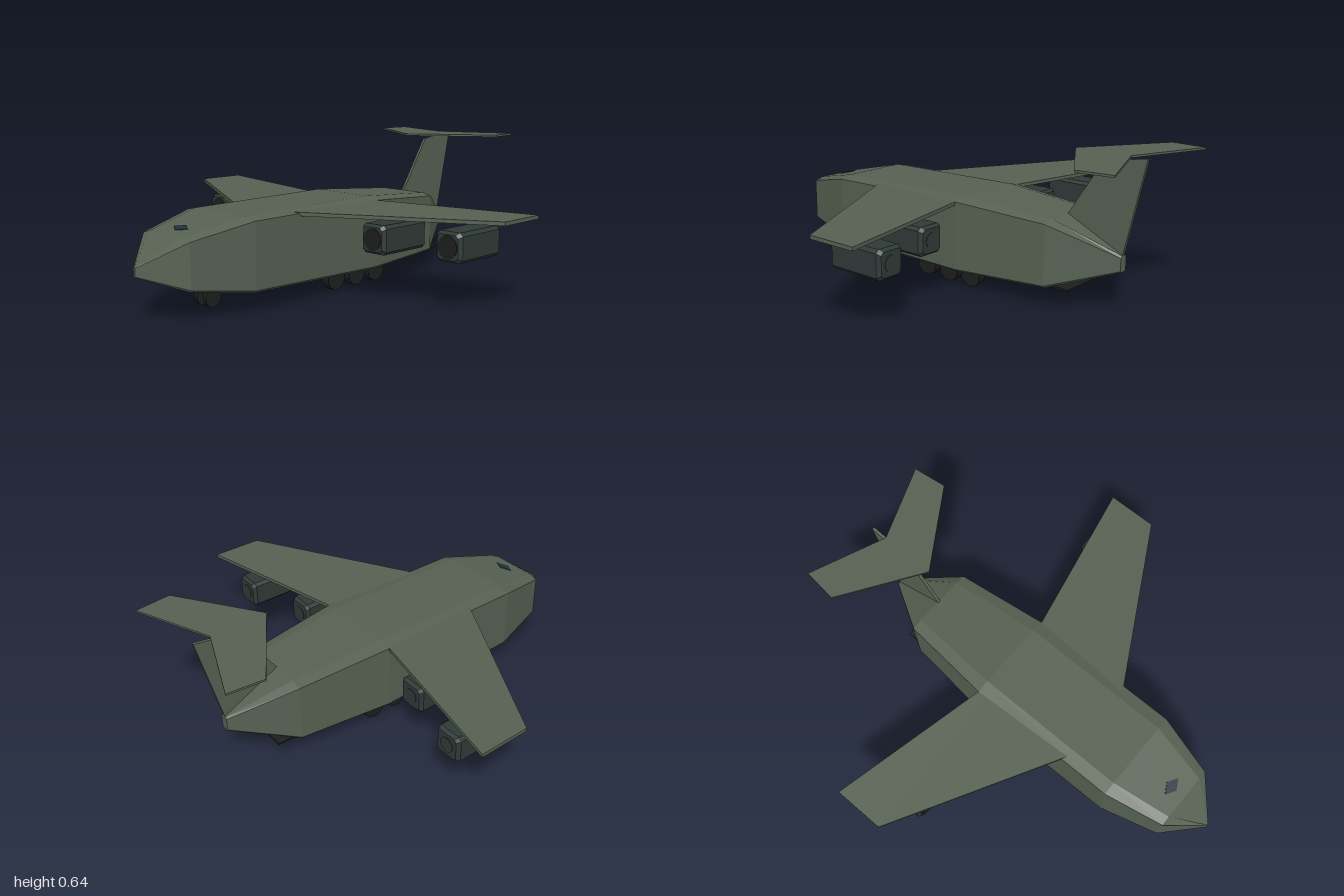
import * as THREE from 'three';

const mat = (color) => new THREE.MeshStandardMaterial({ color, flatShading: true, side: THREE.DoubleSide });

function mesh(name, geometry, material, x = 0, y = 0, z = 0) {
  const m = new THREE.Mesh(geometry, material);
  m.name = name;
  m.position.set(x, y, z);
  return m;
}

// Chamfered rectangle, counter-clockwise seen from the front
function ring(z, hw, y0, y1, cx, top, bottom) {
  return [
    [hw, y0 + bottom], [hw, y1 - top], [hw - cx, y1], [-hw + cx, y1],
    [-hw, y1 - top], [-hw, y0 + bottom], [-hw + bottom, y0], [hw - bottom, y0],
  ].map(([x, y]) => [x, y, z]);
}

// Faceted skin through rings ordered from front to back, capped at both ends
function loft(rings) {
  const pos = [];
  const tri = (a, b, c) => pos.push(...a, ...b, ...c);
  const n = rings[0].length;
  for (let i = 0; i < rings.length - 1; i++) {
    for (let j = 0; j < n; j++) {
      const k = (j + 1) % n;
      const a = rings[i][j], b = rings[i][k], c = rings[i + 1][k], d = rings[i + 1][j];
      tri(a, d, b);
      tri(b, d, c);
    }
  }
  const first = rings[0], last = rings[rings.length - 1];
  for (let j = 1; j < n - 1; j++) {
    tri(first[0], first[j], first[j + 1]);
    tri(last[0], last[j + 1], last[j]);
  }
  const g = new THREE.BufferGeometry();
  g.setAttribute('position', new THREE.Float32BufferAttribute(pos, 3));
  g.computeVertexNormals();
  return g;
}

const extrude = (points, depth) => new THREE.ExtrudeGeometry(
  new THREE.Shape(points.map(([u, v]) => new THREE.Vector2(u, v))), { depth, bevelEnabled: false });

// Horizontal plate from an outline of [x, z] points
const plate = (outline, thickness) =>
  extrude(outline.map(([x, z]) => [x, -z]), thickness).rotateX(-Math.PI / 2);

export function createModel() {
  const model = new THREE.Group();
  model.name = 'transportPlane';
  const green = mat(0x566152), engineGrey = mat(0x2f3a37), dark = mat(0x1c1f1d), glass = mat(0x22313c);

  // Fuselage: z, half width, bottom, top, top chamfer width and height, bottom chamfer
  model.add(mesh('fuselage', loft([
    ring(1.0, 0.006, 0.18, 0.22, 0.003, 0.003, 0.003),
    ring(0.85, 0.155, 0.122, 0.33, 0.045, 0.012, 0.008),
    ring(0.58, 0.22, 0.083, 0.388, 0.06, 0.013, 0.01),
    ring(-0.14, 0.22, 0.07, 0.397, 0.06, 0.014, 0.01),
    ring(-0.58, 0.175, 0.083, 0.366, 0.05, 0.012, 0.01),
    ring(-0.845, 0.02, 0.168, 0.238, 0.008, 0.008, 0.006),
  ]), green));

  // Windscreen: flat diamond lying on the sloping nose
  const windscreen = mesh('windscreen', plate([[-0.048, 0], [0, 0.028], [0.048, 0], [0, -0.028]], 0.006),
    glass, 0, 0.342, 0.778);
  windscreen.rotation.x = 0.21;
  model.add(windscreen);

  // Loading ramp lip under the tail
  model.add(mesh('loadingRamp', new THREE.BoxGeometry(0.29, 0.008, 0.15), dark, 0, 0.088, -0.605));

  // Fin, outlined in [z, y]
  model.add(mesh('tailFin', extrude(
    [[-0.57, 0.355], [-0.74, 0.613], [-0.937, 0.643], [-0.84, 0.22]], 0.014)
    .rotateY(-Math.PI / 2), green, 0.007));

  // Swept tailplane
  model.add(mesh('tailplane', plate([
    [0, -0.6], [0.365, -0.84], [0.347, -1], [0, -0.86], [-0.347, -1], [-0.365, -0.84],
  ], 0.009), green, 0, 0.636));

  // Engine nacelle, centred on its own origin
  const nacelle = loft([
    ring(0.14, 0.052, -0.052, 0.052, 0.012, 0.012, 0.012),
    ring(0.125, 0.065, -0.063, 0.063, 0.014, 0.014, 0.014),
    ring(-0.125, 0.065, -0.063, 0.063, 0.014, 0.014, 0.014),
    ring(-0.14, 0.052, -0.052, 0.052, 0.012, 0.012, 0.012),
  ]);
  const disc = (r, w) => new THREE.CylinderGeometry(r, r, w, 20);

  for (const s of [1, -1]) {
    const side = s > 0 ? 'left' : 'right';

    model.add(mesh(side + 'Wing', plate([
      [0.1 * s, 0.405], [0.95 * s, -0.065], [0.95 * s, -0.3], [0.1 * s, -0.115],
    ], 0.016), green, 0, 0.367));

    for (const [label, x, z] of [['Inner', 0.408, -0.04], ['Outer', 0.73, -0.13]]) {
      const engine = new THREE.Group();
      engine.name = side + label + 'Engine';
      engine.position.set(x * s, 0.262, z);
      engine.add(mesh('nacelle', nacelle, engineGrey));
      engine.add(mesh('intake', disc(0.048, 0.006).rotateX(Math.PI / 2), dark, 0, 0, 0.14));
      engine.add(mesh('exhaust', disc(0.034, 0.006).rotateX(Math.PI / 2), engineGrey, 0, 0, -0.14));
      model.add(engine);
    }

    // Landing gear
    for (const z of [0.07, -0.06, -0.187])
      model.add(mesh(side + 'MainWheel', disc(0.052, 0.038).rotateZ(Math.PI / 2), dark, 0.153 * s, 0.052, z));
    model.add(mesh(side + 'NoseWheel', disc(0.04, 0.02).rotateZ(Math.PI / 2), dark, 0.029 * s, 0.045, 0.653));
  }

  // Nose gear strut and axle
  model.add(mesh('noseStrut', new THREE.BoxGeometry(0.014, 0.06, 0.014), dark, 0, 0.075, 0.653));
  model.add(mesh('noseAxle', disc(0.007, 0.05).rotateZ(Math.PI / 2), dark, 0, 0.05, 0.653));

  return model;
}
